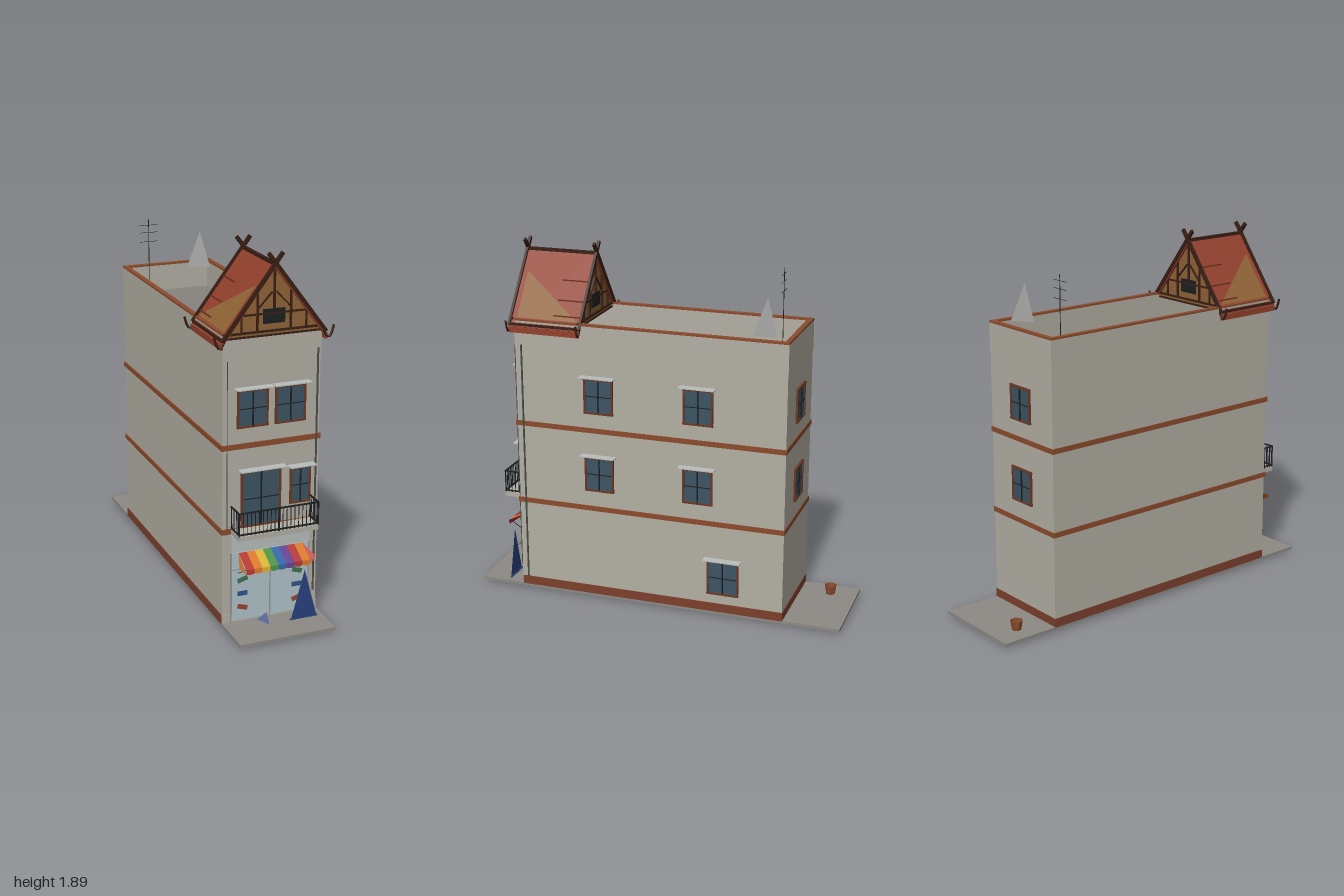
import * as THREE from 'three';

const C = {
  wall: 0xb3b0a4, floor: 0x87847f, slab: 0x8e8b86, band: 0x8c4b2d, base: 0x7c402d, frame: 0x6b3a26,
  glass: 0x3d5463, dark: 0x1d2022, beam: 0x3a1f15, tile: 0x93412d, tileDark: 0x74301f, wood: 0x8f6436,
  shop: 0xafc3c8, sign: 0xb9bfbd, blue: 0x28437f, grey: 0x9a9a98,
};
const mats = {};
const mat = (c) => (mats[c] ??= new THREE.MeshStandardMaterial({ color: c, side: THREE.DoubleSide, flatShading: true }));

export function createModel() {
  const root = new THREE.Group();
  const add = (parent, name, geo, color) => {
    const m = new THREE.Mesh(geo, mat(color));
    m.name = name;
    parent.add(m);
    return m;
  };
  const group = (name) => {
    const g = new THREE.Group();
    g.name = name;
    root.add(g);
    return g;
  };
  // box given by its limits
  const box = (p, name, color, x0, x1, y0, y1, z0, z1) => {
    const m = add(p, name, new THREE.BoxGeometry(x1 - x0, y1 - y0, z1 - z0), color);
    m.position.set((x0 + x1) / 2, (y0 + y1) / 2, (z0 + z1) / 2);
    return m;
  };
  // square bar between two points
  const bar = (p, name, color, a, b, t, d = t) => {
    const A = new THREE.Vector3(...a), B = new THREE.Vector3(...b);
    const m = add(p, name, new THREE.BoxGeometry(t, A.distanceTo(B), d), color);
    m.position.copy(A).add(B).multiplyScalar(0.5);
    m.quaternion.setFromUnitVectors(new THREE.Vector3(0, 1, 0), B.sub(A).normalize());
    return m;
  };
  // flat polygon from 3D corners, fanned
  const poly = (p, name, color, pts) => {
    const g = new THREE.BufferGeometry();
    g.setAttribute('position', new THREE.Float32BufferAttribute(pts.flat(), 3));
    const idx = [];
    for (let i = 1; i < pts.length - 1; i++) idx.push(0, i, i + 1);
    g.setIndex(idx);
    g.computeVertexNormals();
    return add(p, name, g, color);
  };

  // ground and walls
  box(root, 'groundSlab', C.slab, -0.255, 0.255, 0.012, 0.028, -1, 1);
  const body = group('building');
  box(body, 'mainBlock', C.wall, -0.253, 0.253, 0.025, 1.36, -0.695, 0.76);
  box(body, 'roofDeck', C.floor, -0.23, 0.23, 1.355, 1.365, -0.67, 0.74);
  const rim = (name, color, w, y0, y1) => {
    for (const s of [-1, 1]) box(body, name, color, s < 0 ? -0.255 : 0.255 - w, s < 0 ? -0.255 + w : 0.255, y0, y1, -0.697, 0.762);
    box(body, name, color, -0.255 + w, 0.255 - w, y0, y1, -0.697, -0.697 + w);
    box(body, name, color, -0.255 + w, 0.255 - w, y0, y1, 0.762 - w, 0.762);
  };
  rim('parapet', C.wall, 0.022, 1.355, 1.505);
  rim('parapetCap', C.band, 0.026, 1.505, 1.515);
  for (const y of [0.505, 0.938]) box(body, 'floorBand', C.band, -0.259, 0.259, y, y + 0.026, -0.699, 0.768);
  box(body, 'baseBand', C.base, -0.257, 0.257, 0.025, 0.072, -0.698, 0.758);

  // windows, built facing +z and then turned
  const opening = (name, x, y, z, turn, w, h, awning) => {
    const g = group(name), hw = w / 2, hh = h / 2;
    box(g, 'pane', C.glass, -hw, hw, -hh, hh, -0.004, 0.004);
    for (const s of [-1, 1]) {
      box(g, 'frameSide', C.frame, s * hw - 0.005, s * hw + 0.005, -hh, hh, -0.004, 0.009);
      box(g, 'frameEnd', C.frame, -hw - 0.006, hw + 0.006, s * hh - 0.005, s * hh + 0.005, -0.004, 0.01);
    }
    box(g, 'mullion', C.dark, -0.003, 0.003, -hh, hh, 0, 0.01);
    box(g, 'transom', C.dark, -hw, hw, -0.002, 0.002, 0, 0.008);
    if (awning) box(g, 'awning', C.sign, -hw - 0.02, hw + 0.02, hh + 0.013, hh + 0.018, 0, 0.046);
    g.position.set(x, y, z);
    g.rotation.y = turn;
  };
  for (const y of [0.712, 1.138]) {
    for (const z of [0.302, -0.235]) opening('sideWindow', 0.255, y, z, Math.PI / 2, 0.15, 0.18, true);
    opening('backWindow', 0, y, -0.697, Math.PI, 0.15, 0.17, false);
  }
  opening('sideWindow', 0.255, 0.22, -0.375, Math.PI / 2, 0.16, 0.18, true);
  for (const x of [-0.1, 0.096]) opening('frontWindow', x, 1.138, 0.762, 0, 0.15, 0.18, true);
  opening('balconyDoor', -0.053, 0.675, 0.762, 0, 0.2, 0.28, true);
  opening('frontWindow', 0.155, 0.712, 0.762, 0, 0.1, 0.18, true);

  // balcony with railing
  const balcony = group('balcony');
  box(balcony, 'balconyFloor', C.wall, -0.21, 0.21, 0.505, 0.53, 0.76, 0.87);
  for (const y of [0.535, 0.645]) {
    box(balcony, 'rail', C.dark, -0.21, 0.21, y, y + 0.007, 0.862, 0.869);
    for (const x of [-0.208, 0.208]) box(balcony, 'sideRail', C.dark, x - 0.003, x + 0.003, y, y + 0.007, 0.764, 0.869);
  }
  for (let i = 0; i <= 20; i++) {
    const x = -0.208 + i * 0.0208, t = i % 10 ? 0.0014 : 0.004;
    box(balcony, 'baluster', C.dark, x - t, x + t, 0.53, 0.648, 0.864, 0.868);
  }
  for (const x of [-0.208, 0.208]) for (let i = 0; i < 5; i++)
    box(balcony, 'baluster', C.dark, x - 0.0014, x + 0.0014, 0.53, 0.648, 0.768 + i * 0.02, 0.771 + i * 0.02);

  // shop front
  const shop = group('shopFront');
  box(shop, 'frontPlinth', C.wall, -0.255, 0.255, 0.025, 0.072, 0.75, 0.764);
  box(shop, 'shopGlass', C.shop, -0.205, 0.205, 0.035, 0.4, 0.755, 0.766);
  box(shop, 'signPanel', C.sign, -0.21, 0.21, 0.405, 0.495, 0.755, 0.772);
  for (const x of [-0.208, 0, 0.208]) box(shop, 'shopPost', C.grey, x - 0.003, x + 0.003, 0.03, 0.405, 0.757, 0.77);
  box(shop, 'doorHead', C.grey, -0.205, 0.205, 0.308, 0.313, 0.757, 0.769);
  const goods = [0x3c7350, 0x2f5488, 0xa04336];
  for (const s of [-1, 1]) goods.forEach((c, i) => {
    const m = box(shop, 'displayItem', c, s * 0.147 - 0.027, s * 0.147 + 0.027, 0.242 - i * 0.075, 0.266 - i * 0.075, 0.766, 0.769);
    m.rotation.z = s * (i - 1) * 0.3;
  });

  // striped canopy with pointed ends and scalloped edge
  const canopy = group('canopy');
  const stripes = [0xb8392f, 0xd9782c, 0xd8b236, 0x4d9247, 0x3566a6, 0x65448f, 0xb23a3a, 0xd9782c];
  stripes.forEach((c, i) => {
    const w = 0.0425, x0 = -0.17 + i * w, x1 = x0 + w;
    poly(canopy, 'stripe', c, [[x0, 0.4, 0.77], [x0, 0.35, 0.868], [x1, 0.35, 0.868], [x1, 0.4, 0.77]]);
    poly(canopy, 'valance', c, [[x0, 0.35, 0.868], [x0, 0.328, 0.87], [x0 + w / 2, 0.322, 0.87], [x1, 0.328, 0.87], [x1, 0.35, 0.868]]);
  });
  for (const s of [-1, 1]) {
    poly(canopy, 'canopyEnd', s < 0 ? 0xd9782c : 0xb8392f, [[s * 0.17, 0.4, 0.77], [s * 0.17, 0.325, 0.87], [s * 0.203, 0.36, 0.86]]);
    bar(canopy, 'canopyStrut', C.dark, [s * 0.17, 0.29, 0.765], [s * 0.17, 0.35, 0.868], 0.003);
  }

  // gabled roof at the front
  const roof = group('gableRoof');
  const Z0 = 0.4, Z1 = 0.785;
  const profile = new THREE.Shape([[0, 1.832], [0.268, 1.478], [0.255, 1.472], [0, 1.812], [-0.255, 1.472], [-0.268, 1.478]].map((p) => new THREE.Vector2(...p)));
  add(roof, 'tileSlopes', new THREE.ExtrudeGeometry(profile, { depth: Z1 - Z0, bevelEnabled: false }), C.tile).position.z = Z0;
  const slope = (s, y, z) => [s * ((1.84 - y) / 1.321), y, z];
  for (const s of [-1, 1]) {
    poly(roof, 'slopePatch', C.wood, [slope(s, 1.73, 0.75), slope(s, 1.52, 0.75), slope(s, 1.52, 0.42)]);
    for (const y of [1.54, 1.61, 1.7]) bar(roof, 'tileCourse', C.tileDark, slope(s, y, 0.41), slope(s, y, 0.55), 0.006);
    bar(roof, 'eaveBoard', C.tile, [s * 0.268, 1.46, Z0], [s * 0.268, 1.46, Z1], 0.012, 0.03);
    bar(roof, 'eaveBeam', C.beam, [s * 0.262, 1.487, Z0], [s * 0.262, 1.487, Z1], 0.012);
  }
  bar(roof, 'ridgeBeam', C.beam, [0, 1.83, Z0], [0, 1.83, Z1], 0.016);
  for (const [z, out] of [[Z1, 1], [Z0, -1]]) {
    const zi = z - out * 0.014, zb = zi + out * 0.004;
    poly(roof, 'gablePanel', C.wood, [[-0.25, 1.485, zi], [0.25, 1.485, zi], [0, 1.82, zi]]);
    const beam = (a, b, t) => bar(roof, 'timber', C.beam, [...a, zb], [...b, zb], t, 0.01);
    beam([-0.255, 1.512], [0.255, 1.512], 0.01);
    beam([-0.255, 1.492], [0.255, 1.492], 0.008);
    beam([-0.165, 1.597], [0.165, 1.597], 0.008);
    beam([0, 1.62], [0, 1.82], 0.01);
    box(roof, 'vent', C.dark, -0.055, 0.055, 1.548, 1.618, Math.min(zi, zb) - 0.003, Math.max(zi, zb) + 0.003);
    for (const s of [-1, 1]) {
      beam([s * 0.085, 1.51], [s * 0.085, 1.7], 0.009);
      beam([s * 0.165, 1.51], [s * 0.165, 1.6], 0.007);
      beam([s * 0.085, 1.62], [s * 0.01, 1.7], 0.006);
      // bargeboard running past the ridge, with a curled foot
      bar(roof, 'bargeboard', C.beam, [s * 0.265, 1.484, z], [-s * 0.036, 1.884, z], 0.018, 0.014);
      const curl = new THREE.CatmullRomCurve3([[0.25, 1.5], [0.265, 1.465], [0.28, 1.453], [0.293, 1.47], [0.306, 1.512]].map(([x, y]) => new THREE.Vector3(s * x, y, z)));
      add(roof, 'eaveFinial', new THREE.TubeGeometry(curl, 10, 0.006, 6), C.beam);
    }
  }

  // drainpipes
  const pipe = (x, z, y0, y1, r) => {
    add(root, 'drainpipe', new THREE.CylinderGeometry(r, r, y1 - y0, 8), 0x4a4b4b).position.set(x, (y0 + y1) / 2, z);
  };
  pipe(0.235, 0.768, 0.13, 1.4, 0.005);
  pipe(0.259, 0.725, 0.075, 1.38, 0.005);
  pipe(-0.23, 0.764, 0.5, 1.38, 0.002);

  // rooftop cone and aerial
  const cone = add(root, 'roofCone', new THREE.ConeGeometry(0.073, 0.19, 3, 1, true), C.grey);
  cone.position.set(0.143, 1.61, -0.555);
  cone.rotation.y = -Math.PI / 2;
  const aerial = group('aerial');
  bar(aerial, 'mast', C.dark, [-0.15, 1.36, -0.56], [-0.15, 1.79, -0.56], 0.003);
  for (const y of [1.67, 1.72, 1.76]) bar(aerial, 'crossbar', C.dark, [-0.2, y, -0.56], [-0.1, y, -0.56], 0.002);

  // pavement board, small marker and plant pot
  poly(root, 'pavementBoard', C.blue, [[0.08, 0.03, 0.85], [0.22, 0.03, 0.85], [0.15, 0.29, 0.85]]);
  box(root, 'boardFoot', C.blue, 0.075, 0.225, 0, 0.032, 0.843, 0.853);
  poly(root, 'smallMarker', C.blue, [[-0.13, 0.1, 0.91], [-0.075, 0.125, 0.9], [-0.08, 0.08, 0.95]]);
  add(root, 'plantPot', new THREE.CylinderGeometry(0.032, 0.024, 0.05, 7, 1, true), C.band).position.set(-0.15, 0.053, -0.86);

  return root;
}
